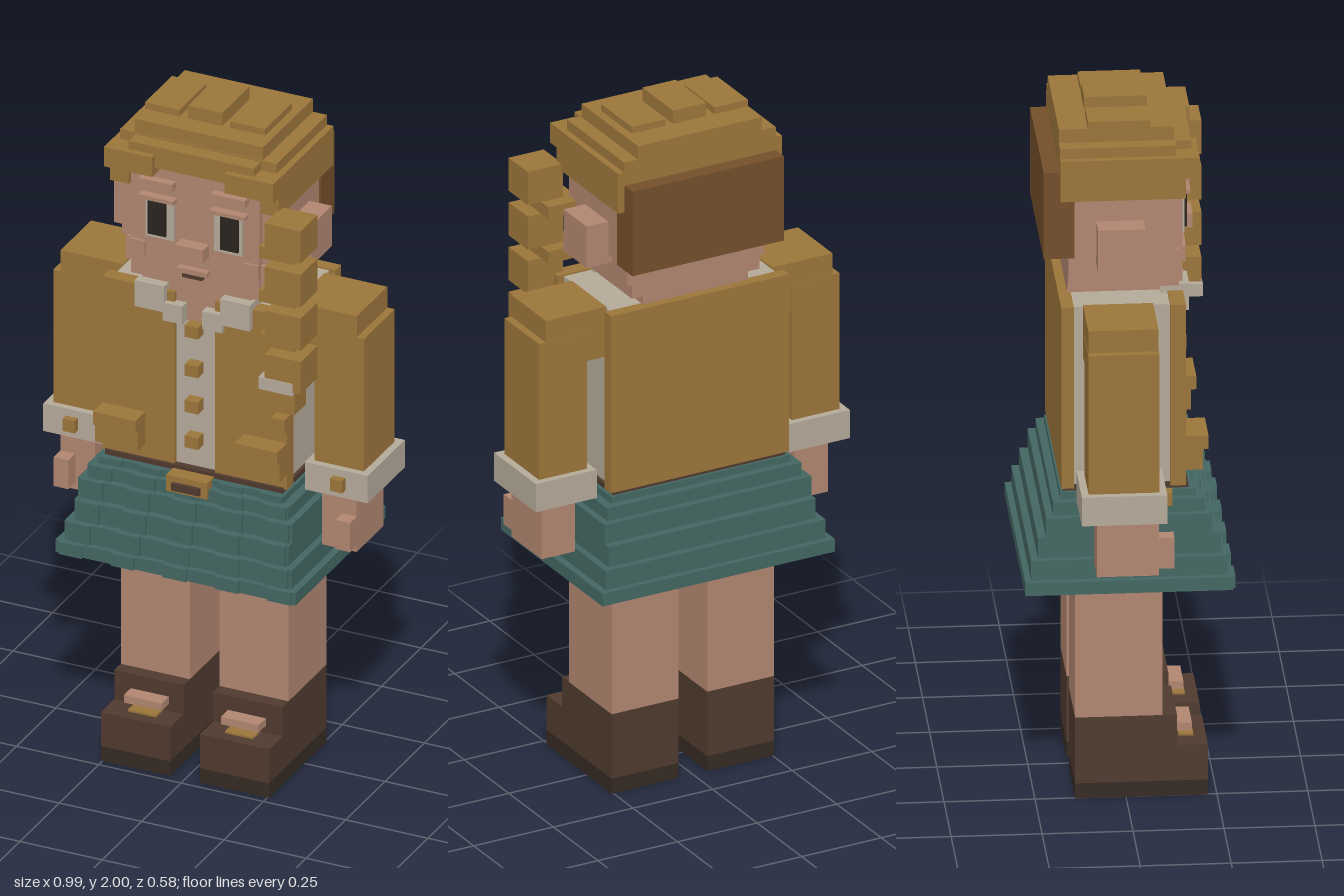
import * as THREE from 'three';

const paint = (name, color) => {
  const m = new THREE.MeshStandardMaterial({ color });
  m.name = name;
  return m;
};

export function createModel() {
  const gold = paint('gold', 0x9b753a);
  const skin = paint('skin', 0xb08570);
  const cream = paint('cream', 0xb4a999);
  const teal = paint('teal', 0x436662);
  const leather = paint('leather', 0x4f3a2e);
  const sole = paint('sole', 0x352a23);
  const darkHair = paint('darkHair', 0x734e2a);
  const black = paint('black', 0x2a241e);

  const model = new THREE.Group();
  const part = (name) => {
    const g = new THREE.Group();
    g.name = name;
    model.add(g);
    return g;
  };
  // Box from its lower and upper limits on each axis
  const box = (parent, name, mat, x0, x1, y0, y1, z0, z1) => {
    const m = new THREE.Mesh(new THREE.BoxGeometry(Math.abs(x1 - x0), y1 - y0, z1 - z0), mat);
    m.position.set((x0 + x1) / 2, (y0 + y1) / 2, (z0 + z1) / 2);
    m.name = name;
    parent.add(m);
  };
  // The same box on both sides
  const pair = (parent, name, mat, x0, x1, ...rest) => {
    box(parent, name + 'Left', mat, x0, x1, ...rest);
    box(parent, name + 'Right', mat, -x0, -x1, ...rest);
  };
  // Hollow rectangular ring
  const ring = (parent, name, mat, w, d, t, y0, y1) => {
    pair(parent, name + 'Side', mat, w - t, w, y0, y1, -d, d);
    box(parent, name + 'Front', mat, t - w, w - t, y0, y1, d - t, d);
    box(parent, name + 'Back', mat, t - w, w - t, y0, y1, -d, t - d);
  };

  // Legs and shoes
  const legs = part('legs');
  pair(legs, 'leg', skin, 0.045, 0.255, 0.24, 0.86, -0.14, 0.1);
  const shoes = part('shoes');
  pair(shoes, 'sole', sole, 0.045, 0.255, 0, 0.045, -0.14, 0.225);
  pair(shoes, 'toe', leather, 0.045, 0.255, 0.045, 0.15, 0.14, 0.225);
  pair(shoes, 'heel', leather, 0.045, 0.255, 0.045, 0.24, -0.14, 0.14);
  pair(shoes, 'strap', skin, 0.09, 0.205, 0.172, 0.195, 0.14, 0.185);
  pair(shoes, 'strapInlay', gold, 0.105, 0.19, 0.15, 0.156, 0.15, 0.19);

  // Stepped skirt with pleats across the front
  const skirt = part('skirt');
  const tiers = [
    [0.365, 0.285, 0.65, 0.688], [0.345, 0.268, 0.688, 0.745], [0.325, 0.248, 0.745, 0.805],
    [0.325, 0.225, 0.805, 0.862], [0.305, 0.205, 0.862, 0.9], [0.28, 0.183, 0.9, 0.92],
  ];
  tiers.forEach(([w, d, y0, y1], i) => {
    if (i < 3) ring(skirt, 'tier' + i, teal, w, d, 0.045, y0, y1);
    else box(skirt, 'tier' + i, teal, -w, w, y0, y1, -d, d);
    for (let k = -2; k <= 2; k++) {
      const c = k * 0.15 * (w / 0.345);
      box(skirt, 'pleat', teal, c - 0.035, c + 0.035, y0, y1, d, d + 0.008);
    }
  });
  const belt = part('belt');
  box(belt, 'band', leather, -0.27, 0.27, 0.91, 0.935, -0.175, 0.17);
  box(belt, 'buckle', gold, -0.062, 0.062, 0.875, 0.925, 0.15, 0.215);
  box(belt, 'buckleCentre', leather, -0.043, 0.043, 0.885, 0.907, 0.2, 0.225);

  // Shirt and open jacket
  const torso = part('torso');
  box(torso, 'shirt', cream, -0.26, 0.26, 0.93, 1.46, -0.146, 0.12);
  box(torso, 'shirtFront', cream, -0.064, 0.064, 0.93, 1.4, 0.12, 0.15);
  box(torso, 'jacketBack', gold, -0.28, 0.28, 0.93, 1.465, -0.18, -0.145);
  pair(torso, 'jacketFront', gold, 0.062, 0.28, 0.93, 1.465, 0.12, 0.163);
  pair(torso, 'pocket', gold, 0.15, 0.28, 0.975, 1.04, 0.16, 0.21);
  pair(torso, 'pocketFlap', gold, 0.15, 0.28, 1.035, 1.075, 0.16, 0.225);
  pair(torso, 'collar', cream, 0.085, 0.175, 1.405, 1.485, 0.1, 0.18);
  pair(torso, 'collarPoint', cream, 0.03, 0.09, 1.38, 1.435, 0.1, 0.18);
  for (const y of [1.365, 1.245, 1.133, 1.023]) {
    box(torso, 'button', gold, -0.02, 0.02, y - 0.018, y + 0.018, 0.15, 0.185);
  }

  // Arms
  const arms = part('arms');
  pair(arms, 'shoulder', gold, 0.26, 0.45, 1.315, 1.465, -0.119, 0.074);
  pair(arms, 'sleeve', gold, 0.322, 0.472, 0.98, 1.4, -0.12, 0.075);
  pair(arms, 'cuff', cream, 0.302, 0.493, 0.905, 0.99, -0.14, 0.095);
  pair(arms, 'cuffButton', gold, 0.388, 0.425, 0.93, 0.968, 0.09, 0.115);
  pair(arms, 'hand', skin, 0.345, 0.45, 0.735, 0.905, -0.095, 0.075);
  pair(arms, 'thumb', skin, 0.405, 0.45, 0.755, 0.845, 0.075, 0.118);

  // Head narrowing toward the chin
  const head = part('head');
  box(head, 'skull', skin, -0.232, 0.232, 1.6, 1.85, -0.155, 0.14);
  const jaw = [[0.215, 1.53, 1.6], [0.2, 1.49, 1.53], [0.165, 1.465, 1.49], [0.09, 1.43, 1.465], [0.035, 1.38, 1.43]];
  jaw.forEach(([w, y0, y1]) => box(head, 'jaw', skin, -w, w, y0, y1, -0.155, 0.15));
  box(head, 'face', skin, -0.195, 0.195, 1.5, 1.85, 0.14, 0.16);
  pair(head, 'ear', skin, 0.22, 0.3, 1.575, 1.7, -0.08, 0.05);
  box(head, 'nose', skin, -0.042, 0.042, 1.595, 1.635, 0.16, 0.2);
  pair(head, 'cheek', skin, 0.15, 0.195, 1.56, 1.605, 0.16, 0.168);
  box(head, 'lip', skin, -0.045, 0.045, 1.54, 1.555, 0.16, 0.18);
  box(head, 'mouth', leather, -0.03, 0.03, 1.528, 1.54, 0.16, 0.18);
  pair(head, 'eyelid', skin, 0.055, 0.162, 1.745, 1.757, 0.16, 0.185);
  pair(head, 'eyeWhite', cream, 0.062, 0.147, 1.625, 1.745, 0.16, 0.169);
  pair(head, 'pupil', black, 0.083, 0.137, 1.637, 1.738, 0.169, 0.177);
  pair(head, 'brow', skin, 0.058, 0.163, 1.785, 1.808, 0.16, 0.185);

  // Hair
  const hair = part('hair');
  box(hair, 'backHair', darkHair, -0.238, 0.238, 1.595, 1.85, -0.225, -0.14);
  box(hair, 'lowerCap', gold, -0.238, 0.238, 1.775, 1.85, -0.18, -0.13);
  pair(hair, 'sideLock', gold, 0.215, 0.257, 1.77, 1.86, -0.18, 0.14);
  box(hair, 'capBase', gold, -0.257, 0.257, 1.85, 1.89, -0.18, 0.14);
  box(hair, 'capMiddle', gold, -0.238, 0.238, 1.89, 1.92, -0.18, 0.14);
  box(hair, 'capTop', gold, -0.195, 0.195, 1.92, 1.96, -0.18, 0.137);
  [[-0.195, -0.09, 1.98], [-0.064, 0.04, 2], [0.064, 0.17, 1.98]].forEach(([a, b, y]) =>
    box(hair, 'crownTuft', gold, a, b, 1.95, y, -0.1, 0.072));
  box(hair, 'fringe', gold, -0.19, 0.19, 1.85, 1.915, 0.13, 0.185);
  pair(hair, 'fringeSide', gold, 0.11, 0.257, 1.83, 1.89, 0.13, 0.203);
  pair(hair, 'fringeEnd', gold, 0.2, 0.257, 1.77, 1.83, 0.1, 0.165);

  // Braid hanging over one shoulder
  const braid = part('braid');
  for (let i = 0; i < 4; i++) {
    const y = 1.79 - i * 0.135;
    box(braid, 'knot', gold, 0.252, 0.362, y - 0.1, y, 0.14, 0.247);
    box(braid, 'link', gold, 0.215, 0.32, y - 0.136, y - 0.1, 0.1, 0.203);
  }
  box(braid, 'tie', cream, 0.235, 0.338, 1.275, 1.312, 0.12, 0.25);
  box(braid, 'braidEnd', gold, 0.25, 0.322, 1.19, 1.275, 0.13, 0.203);
  box(braid, 'braidTip', gold, 0.25, 0.29, 1.12, 1.165, 0.15, 0.2);

  return model;
}
